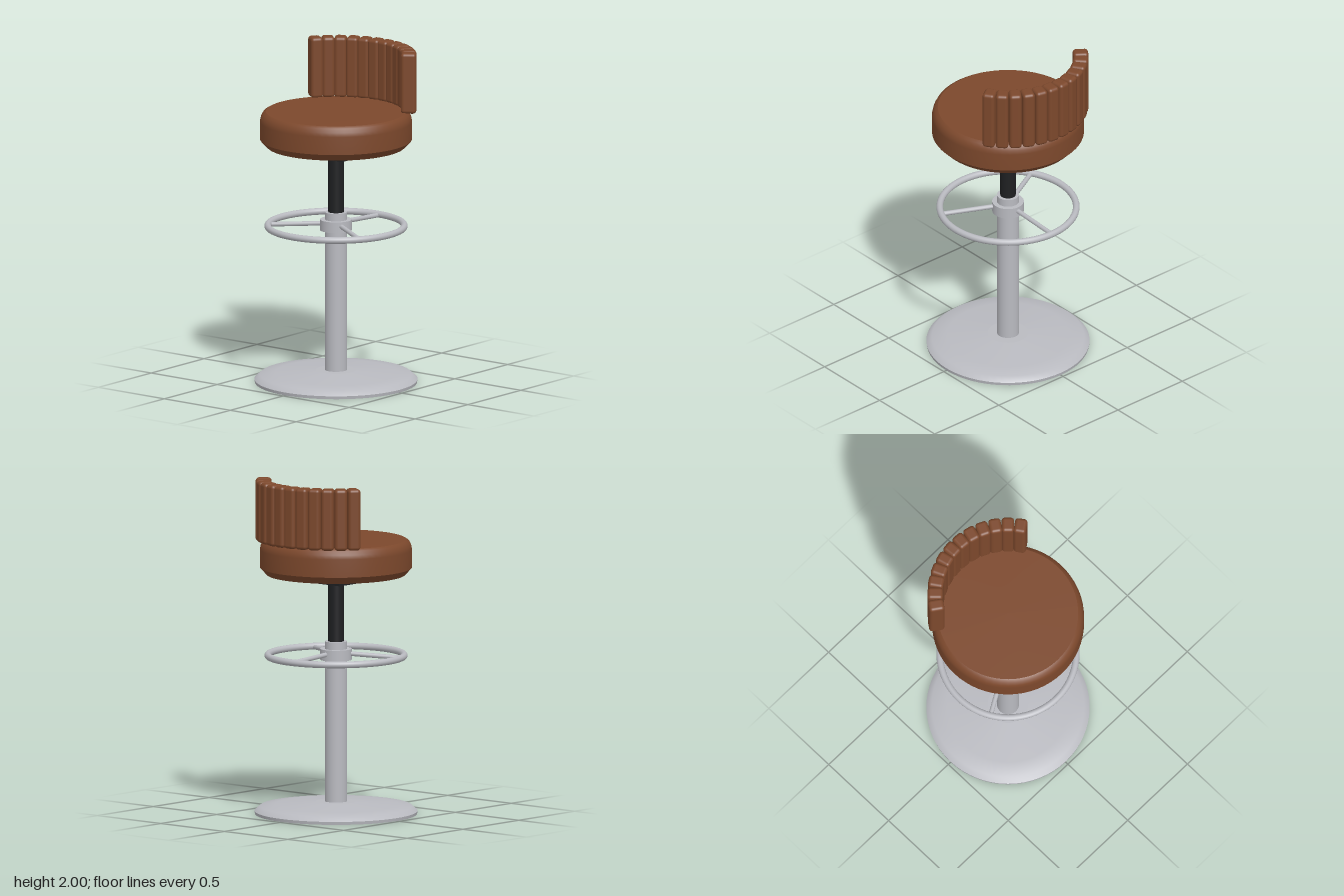
import * as THREE from 'three';
import { RoundedBoxGeometry } from 'three/addons/geometries/RoundedBoxGeometry.js';

const material = (name, color) => {
  const m = new THREE.MeshStandardMaterial({ color });
  m.name = name;
  return m;
};

export function createModel() {
  const leather = material('brown leather', 0x7c482c);
  const steel = material('brushed steel', 0xb9bac0);
  const black = material('black metal', 0x1f2022);
  const stool = new THREE.Group();
  stool.name = 'barStool';

  const add = (name, geometry, mat, x = 0, y = 0, z = 0, parent = stool) => {
    const mesh = new THREE.Mesh(geometry, mat);
    mesh.name = name;
    mesh.position.set(x, y, z);
    parent.add(mesh);
    return mesh;
  };
  // Lathe from [radius, height] pairs; a repeated pair makes a sharp edge
  const lathe = (points) =>
    new THREE.LatheGeometry(points.map(([r, y]) => new THREE.Vector2(r, y)), 64);
  const cylinder = (name, r, y0, y1, mat) =>
    add(name, new THREE.CylinderGeometry(r, r, y1 - y0, 40), mat, 0, (y0 + y1) / 2, 0);

  // Floor disc with a shallow dome
  add('base', lathe([
    [0, 0], [0.48, 0], [0.48, 0], [0.483, 0.018], [0.483, 0.018],
    [0.45, 0.046], [0.36, 0.056], [0.12, 0.074], [0.12, 0.074], [0, 0.074],
  ]), steel);

  // Column, collars and gas lift
  cylinder('column', 0.066, 0.06, 1.03, steel);
  cylinder('collar', 0.094, 0.92, 0.985, steel);
  cylinder('gasLift', 0.046, 1.0, 1.41, black);

  // Foot ring on three gently sloping spokes
  const footRest = new THREE.Group();
  footRest.name = 'footRest';
  stool.add(footRest);
  add('footRing', new THREE.TorusGeometry(0.404, 0.02, 14, 72).rotateX(Math.PI / 2),
    steel, 0, 0.945, 0, footRest);
  for (let i = 0; i < 3; i++) {
    const a = (i * 2 * Math.PI) / 3;
    const at = (r, y) => new THREE.Vector3(r * Math.sin(a), y, -r * Math.cos(a));
    const path = new THREE.LineCurve3(at(0.06, 0.959), at(0.404, 0.94));
    add('spoke', new THREE.TubeGeometry(path, 1, 0.014, 12), steel, 0, 0, 0, footRest);
  }

  // Mounting plate and small clip under the seat
  add('mountingPlate', new THREE.BoxGeometry(0.48, 0.03, 0.48), black, 0, 1.42, 0);
  add('undersideClip', new THREE.BoxGeometry(0.09, 0.016, 0.03), black, 0, 1.43, -0.33);

  // Round cushion: bevelled below, softly rounded above
  add('seatCushion', lathe([
    [0, 1.43], [0.41, 1.43], [0.41, 1.43], [0.45, 1.472], [0.45, 1.472],
    [0.45, 1.58], [0.445, 1.605], [0.433, 1.628], [0.415, 1.639], [0.415, 1.639],
    [0.2, 1.643], [0, 1.645],
  ]), leather);

  // Curved backrest of twelve upright padded rolls
  const backrest = new THREE.Group();
  backrest.name = 'backrest';
  stool.add(backrest);
  const pad = new RoundedBoxGeometry(0.074, 0.366, 0.092, 4, 0.02);
  for (let i = 0; i < 12; i++) {
    const a = THREE.MathUtils.degToRad((i - 5.5) * 10);
    const roll = add('backrestRoll', pad, leather,
      0.431 * Math.sin(a), 1.817, -0.431 * Math.cos(a), backrest);
    roll.rotation.y = -a;
  }
  return stool;
}
